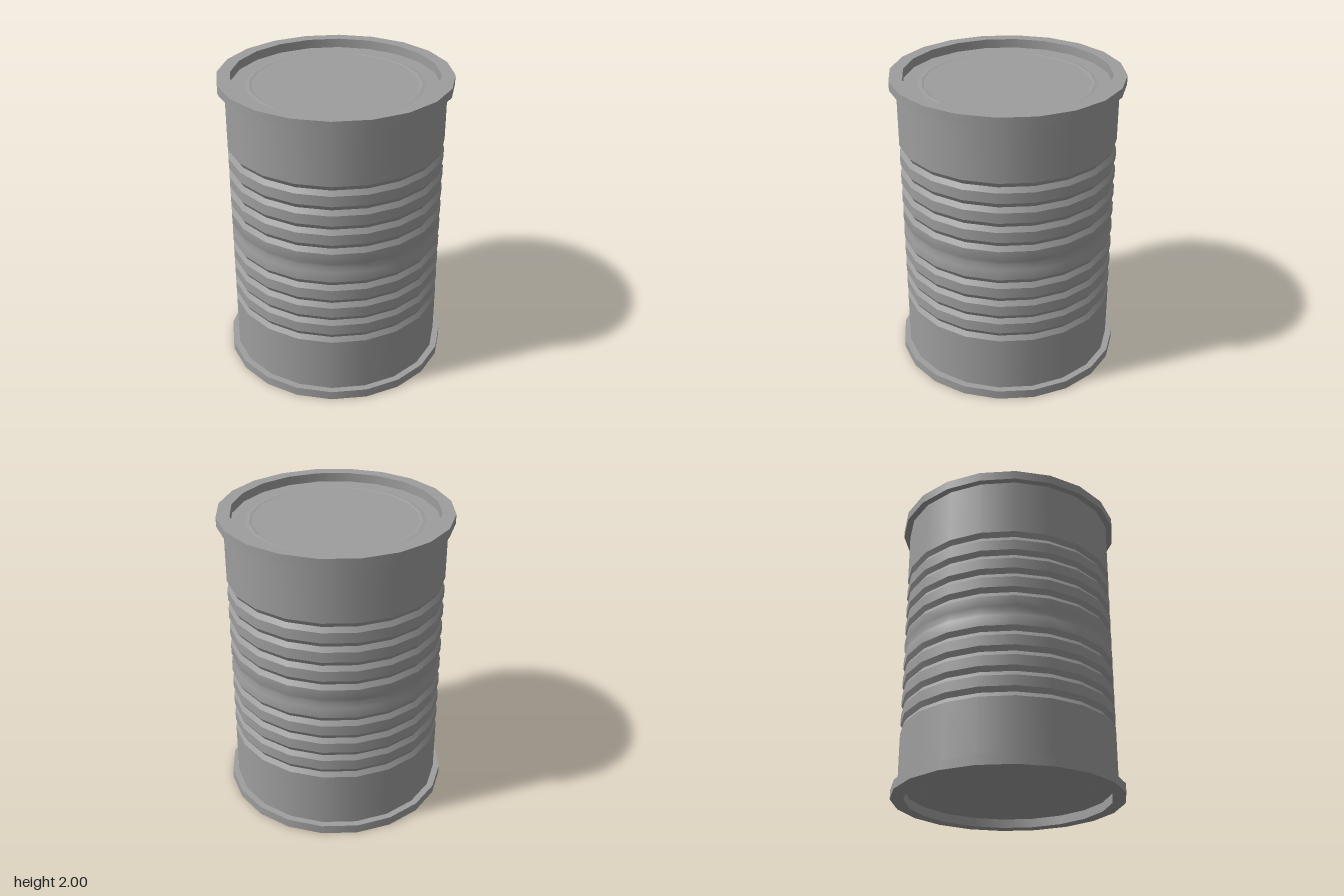
import * as THREE from 'three';

const SIDES = 20;
const R = 0.707;        // body radius
const GROOVE_R = 0.687; // radius at the bottom of a groove
const HALF = 0.032;     // half the height of a groove
const PITCH = 0.1335;   // distance between grooves
const RIM_R = 0.75, LIP_R = 0.665, RIM_H = 0.06;
const FLOOR = 2 - RIM_H; // height of the recessed lid

export function createModel() {
  const model = new THREE.Group();
  const material = new THREE.MeshStandardMaterial({ color: 0x9e9e9e });

  // Each strip is smooth inside; edges between strips stay sharp
  const addPart = (name, strips) => {
    const part = new THREE.Group();
    part.name = name;
    strips.forEach((strip) => {
      const points = strip.map(([r, y]) => new THREE.Vector2(r, y));
      const mesh = new THREE.Mesh(new THREE.LatheGeometry(points, SIDES), material);
      mesh.name = name + 'Surface';
      part.add(mesh);
    });
    model.add(part);
  };

  // Body wall: nine grooves with plain bands between them and at both ends
  const wall = [];
  let bandStart = RIM_H;
  for (let i = -4; i <= 4; i++) {
    const y = 1 + i * PITCH;
    const lower = [R, y - HALF], bottom = [GROOVE_R, y], upper = [R, y + HALF];
    if (i === 0) {
      // the middle groove is softly blended into its neighbouring bands
      bandStart = y + PITCH - HALF;
      wall.push([[R, y - PITCH + HALF], lower, bottom, upper, [R, bandStart]]);
    } else {
      if (i !== 1) wall.push([[R, bandStart], lower]);
      wall.push([lower, bottom], [bottom, upper]);
      bandStart = y + HALF;
    }
    // the band below the middle groove belongs to the blended strip
    if (i === 0) wall.splice(wall.length - 1, 0);
  }
  wall.push([[R, bandStart], [R, FLOOR]]);
  addPart('body', wall);

  // Rims and recessed lids; the bottom is the top mirrored
  const rim = [
    [[R, FLOOR], [RIM_R, FLOOR]],
    [[RIM_R, FLOOR], [RIM_R, 2]],
    [[RIM_R, 2], [LIP_R, 2]],
    [[LIP_R, 2], [LIP_R, FLOOR]],
  ];
  // lid floor, low bead, centre disc
  const lid = [
    [[LIP_R, FLOOR], [0.575, FLOOR]],
    [[0.575, FLOOR], [0.56, FLOOR], [0.545, FLOOR + 0.005], [0.54, FLOOR], [0.53, FLOOR]],
    [[0.53, FLOOR], [0, FLOOR]],
  ];
  const mirror = (strips) => strips.map((s) => s.map(([r, y]) => [r, 2 - y]).reverse());
  addPart('topRim', rim);
  addPart('topLid', lid);
  addPart('bottomRim', mirror(rim));
  addPart('bottomLid', mirror(lid));

  return model;
}
